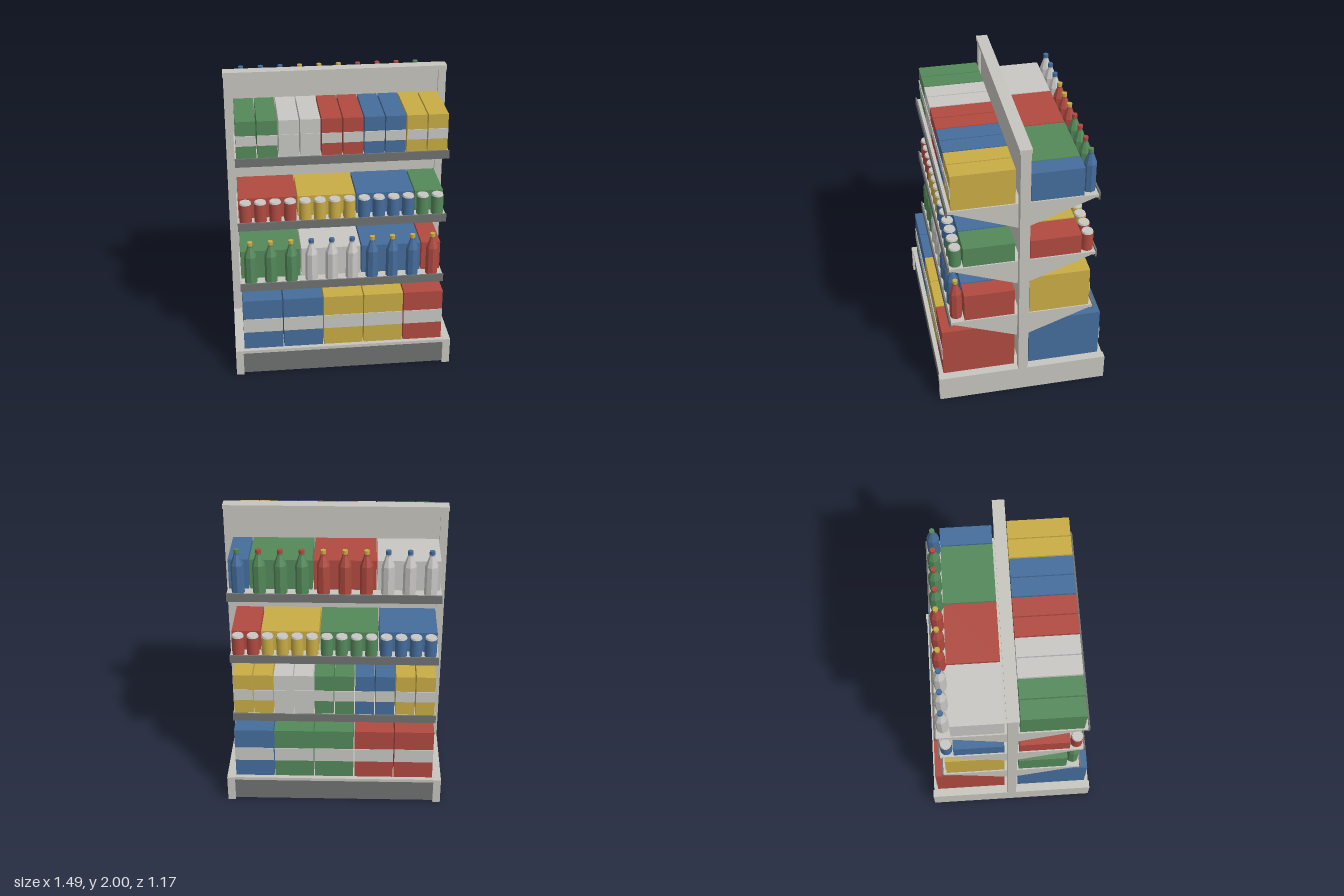
import * as THREE from 'three';

const colours = {
  steel: 0xc6c5be, charcoal: 0x6f7270, white: 0xc8c7c4,
  red: 0xb04a40, green: 0x54895a, blue: 0x456d9c, yellow: 0xc9ac45,
};
const mats = {};
for (const [name, color] of Object.entries(colours)) {
  mats[name] = new THREE.MeshStandardMaterial({ color });
  mats[name].name = name;
}
// the faceted bottles use their own normals, so materials stay colour-only

const HALF = 0.685; // half of the usable shelf width

function add(parent, name, geometry, colour) {
  const mesh = new THREE.Mesh(geometry, mats[colour]);
  mesh.name = name;
  parent.add(mesh);
  return mesh;
}

// box given by its lower and upper limits
function block(parent, name, colour, x0, x1, y0, y1, z0, z1) {
  const mesh = add(parent, name, new THREE.BoxGeometry(x1 - x0, y1 - y0, z1 - z0), colour);
  mesh.position.set((x0 + x1) / 2, (y0 + y1) / 2, (z0 + z1) / 2);
  return mesh;
}

// [colour, count] pairs to a flat list
const expand = (runs) => runs.flatMap(([c, n]) => Array(n).fill(c));

// row of cartons with a pale band across the front
function cartonRow(parent, runs, y, h, zFront) {
  const list = expand(runs);
  const pitch = (2 * HALF) / list.length;
  list.forEach((c, i) => {
    const x0 = -HALF + i * pitch + 0.004, x1 = x0 + pitch - 0.008;
    block(parent, 'carton', c, x0, x1, y, y + h, 0.05, zFront);
    block(parent, 'cartonBand', 'white', x0, x1, y + 0.35 * h, y + 0.62 * h, zFront, zFront + 0.005);
  });
}

// solid stock standing behind a row of bottles or cans
function backStock(parent, runs, y, h) {
  const pitch = (2 * HALF) / runs.reduce((sum, r) => sum + r[1], 0);
  let x = -HALF;
  for (const [c, n] of runs) {
    block(parent, 'backStock', c, x + 0.004, x + n * pitch - 0.004, y, y + h, 0.05, 0.39);
    x += n * pitch;
  }
}

const bottleBody = new THREE.LatheGeometry(
  [[0, 0], [0.042, 0], [0.042, 0.2], [0.017, 0.27], [0.017, 0.285], [0, 0.285]]
    .map(([r, y]) => new THREE.Vector2(r, y)), 8).toNonIndexed();
bottleBody.computeVertexNormals();
const bottleCap = new THREE.CylinderGeometry(0.018, 0.018, 0.025, 8);
const canBody = new THREE.CylinderGeometry(0.041, 0.041, 0.13, 14);
const canEnd = new THREE.CylinderGeometry(0.036, 0.04, 0.012, 14);

// runs: [colour, count, cap colour]
function bottleRow(parent, runs, y) {
  const list = runs.flatMap(([c, n, cap]) => Array(n).fill([c, cap]));
  const pitch = (2 * HALF) / list.length;
  list.forEach(([c, cap], i) => {
    const bottle = new THREE.Group();
    bottle.name = 'bottle';
    add(bottle, 'bottleBody', bottleBody, c);
    add(bottle, 'bottleCap', bottleCap, cap).position.y = 0.2925;
    bottle.position.set(-HALF + (i + 0.5) * pitch, y, 0.438);
    parent.add(bottle);
  });
  backStock(parent, runs, y, 0.208);
}

function canRow(parent, runs, y) {
  const list = expand(runs);
  const pitch = (2 * HALF) / list.length;
  list.forEach((c, i) => {
    const can = new THREE.Group();
    can.name = 'can';
    add(can, 'canBody', canBody, c).position.y = 0.067;
    add(can, 'canLid', canEnd, 'white').position.y = 0.138;
    can.position.set(-HALF + (i + 0.5) * pitch, y, 0.438);
    parent.add(can);
  });
  backStock(parent, runs, y, 0.144);
}

// triangular shelf bracket: x is depth, y is height below the shelf
function bracketGeometry() {
  const shape = new THREE.Shape([[0.03, 0], [0.03, -0.17], [0.47, 0]].map(([x, y]) => new THREE.Vector2(x, y)));
  const g = new THREE.ExtrudeGeometry(shape, { depth: 0.01, bevelEnabled: false });
  return g.rotateY(-Math.PI / 2).translate(0.005, 0, 0);
}

const shelfTops = [0.65, 1.11, 1.57];

// fixtures of one side, built towards +z
function sideFixtures() {
  const side = new THREE.Group();
  block(side, 'basePlinth', 'charcoal', -0.69, 0.69, 0.006, 0.165, 0.03, 0.57);
  block(side, 'baseDeck', 'steel', -0.69, 0.69, 0.165, 0.187, 0.015, 0.578);
  const bracket = bracketGeometry();
  for (const top of shelfTops) {
    block(side, 'shelf', 'steel', -0.69, 0.69, top - 0.022, top, 0.015, 0.484);
    block(side, 'shelfLip', 'charcoal', -0.69, 0.69, top - 0.042, top + 0.015, 0.484, 0.495);
    for (const s of [-1, 1]) add(side, 'shelfBracket', bracket, 'steel').position.set(s * 0.683, top - 0.02, 0);
  }
  return side;
}

export function createModel() {
  const model = new THREE.Group();
  model.name = 'shelvingUnit';

  // frame
  block(model, 'backPanel', 'steel', -0.69, 0.69, 0.006, 1.975, -0.015, 0.015);
  block(model, 'baseSpine', 'steel', -0.69, 0.69, 0.004, 0.16, -0.03, 0.03);
  block(model, 'topRail', 'steel', -0.745, 0.745, 1.972, 2, -0.04, 0.04);
  for (const s of [-1, 1]) {
    const x0 = s > 0 ? 0.69 : -0.742, x1 = x0 + 0.052;
    block(model, 'post', 'steel', x0, x1, 0.18, 1.975, -0.033, 0.033);
    block(model, 'baseEndPanel', 'steel', x0, x1, 0, 0.19, -0.585, 0.585);
  }

  // front side and its stock
  const front = sideFixtures();
  front.name = 'frontSide';
  cartonRow(front, [['blue', 2], ['yellow', 2], ['red', 1]], 0.187, 0.376, 0.548);
  bottleRow(front, [['green', 3, 'yellow'], ['white', 3, 'blue'], ['blue', 3, 'yellow'], ['red', 1, 'yellow']], 0.65);
  canRow(front, [['red', 4], ['yellow', 4], ['blue', 4], ['green', 2]], 1.11);
  cartonRow(front, [['green', 2], ['white', 2], ['red', 2], ['blue', 2], ['yellow', 2]], 1.57, 0.255, 0.46);
  model.add(front);

  // back side, turned half round, so its rows run from +x to -x
  const back = sideFixtures();
  back.name = 'backSide';
  back.rotation.y = Math.PI;
  cartonRow(back, [['blue', 1], ['green', 2], ['red', 2]], 0.187, 0.376, 0.548);
  cartonRow(back, [['yellow', 2], ['white', 2], ['green', 2], ['blue', 2], ['yellow', 2]], 0.65, 0.3, 0.46);
  canRow(back, [['red', 2], ['yellow', 4], ['green', 4], ['blue', 4]], 1.11);
  bottleRow(back, [['blue', 1, 'green'], ['green', 3, 'red'], ['red', 3, 'yellow'], ['white', 3, 'blue']], 1.57);
  model.add(back);

  return model;
}
